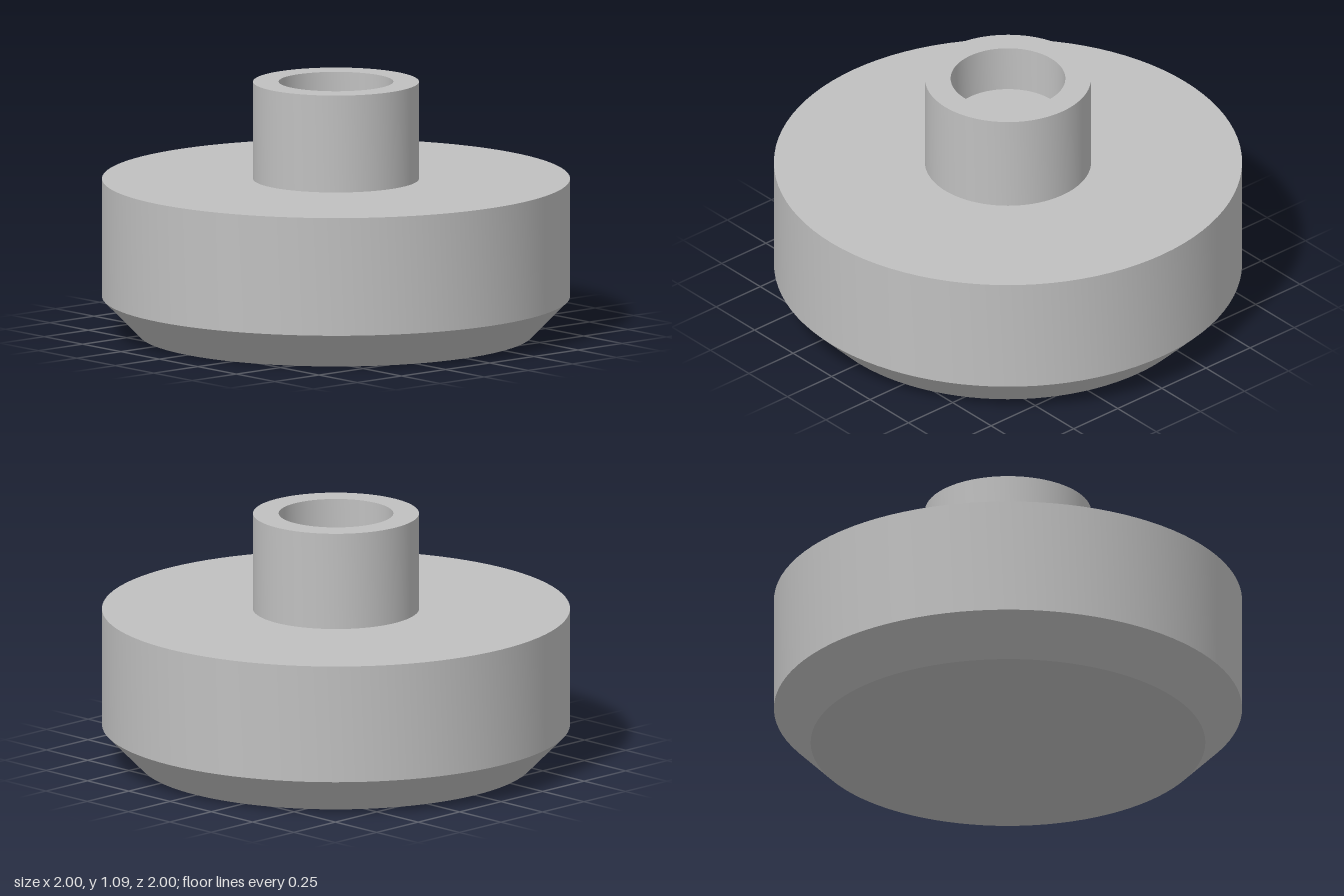
import * as THREE from 'three';
import { toCreasedNormals } from 'three/addons/utils/BufferGeometryUtils.js';

const SEGMENTS = 96;
const BOSS_RADIUS = 0.355;
const BORE_RADIUS = 0.245;
const DISC_TOP = 0.67;
const BOSS_TOP = 1.09;
const BORE_FLOOR = 0.885;

// Turn a profile of [radius, height] pairs around y, keeping its edges sharp
function turned(name, profile, material) {
  const points = profile.map(([r, y]) => new THREE.Vector2(r, y));
  const geometry = toCreasedNormals(new THREE.LatheGeometry(points, SEGMENTS), 0.5);
  const mesh = new THREE.Mesh(geometry, material);
  mesh.name = name;
  return mesh;
}

export function createModel() {
  const grey = new THREE.MeshStandardMaterial({ color: 0xc0c0c0 });
  grey.name = 'plain grey';

  const model = new THREE.Group();
  model.name = 'chamferedKnob';

  // Wide disc with a chamfered lower edge
  model.add(turned('disc', [
    [0, 0], [0.843, 0], [1, 0.16], [1, DISC_TOP], [BOSS_RADIUS, DISC_TOP],
  ], grey));

  // Raised boss with a blind bore
  model.add(turned('boss', [
    [BOSS_RADIUS, DISC_TOP], [BOSS_RADIUS, BOSS_TOP], [BORE_RADIUS, BOSS_TOP],
    [BORE_RADIUS, BORE_FLOOR], [0, BORE_FLOOR],
  ], grey));

  return model;
}
